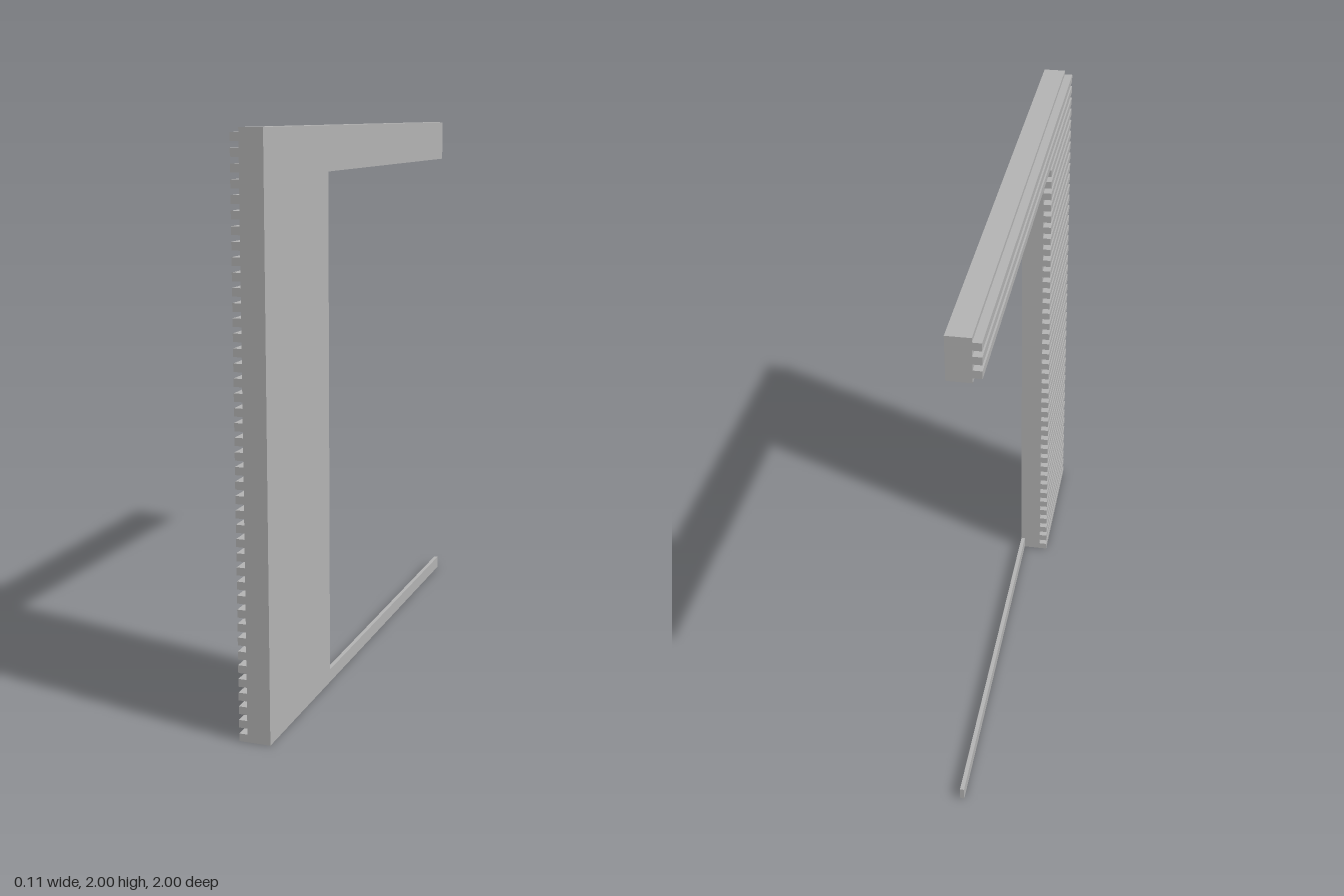
import * as THREE from 'three';

// Ribs run along z on the -x face at an even pitch
const BACK = -0.0555, GROOVE = -0.026, FACE = 0.0555;
const RIBS = 42, RIB_H = 0.027, PITCH = (1.985 - RIB_H) / (RIBS - 1);

export function createModel() {
  const group = new THREE.Group();
  group.name = 'ribbedWallPanel';
  const grey = new THREE.MeshStandardMaterial({ color: 0xb3b3b3 });
  grey.name = 'light grey';

  const add = (name, geometry) => {
    const mesh = new THREE.Mesh(geometry, grey);
    mesh.name = name;
    group.add(mesh);
  };

  // Ribbed cross-section between two heights, extruded along z
  const ribbed = (y0, y1, z0, z1) => {
    const shape = new THREE.Shape();
    shape.moveTo(GROOVE, y0);
    shape.lineTo(FACE, y0);
    shape.lineTo(FACE, y1);
    shape.lineTo(GROOVE, y1);
    for (let i = RIBS - 1; i >= 0; i--) {
      const low = i * PITCH, high = low + RIB_H;
      if (low < y0 - 1e-6) break;
      shape.lineTo(GROOVE, high);
      shape.lineTo(BACK, high);
      shape.lineTo(BACK, low);
      if (low > y0 + 1e-6) shape.lineTo(GROOVE, low);
    }
    const geometry = new THREE.ExtrudeGeometry(shape, { depth: z1 - z0, bevelEnabled: false });
    return geometry.translate(0, 0, z0);
  };

  // Full-height wall and the lintel over the opening
  add('wall', ribbed(0, 2, 0.43, 1));
  add('lintel', ribbed(1.845, 2, -1, 0.43));

  // Thin sill strip along the foot of the opening, flush with the smooth face
  const thick = 0.015;
  const sill = new THREE.BoxGeometry(thick, 0.048, 1.43);
  sill.translate(FACE - thick / 2, 0.024, -0.285);
  add('sillStrip', sill);

  return group;
}
